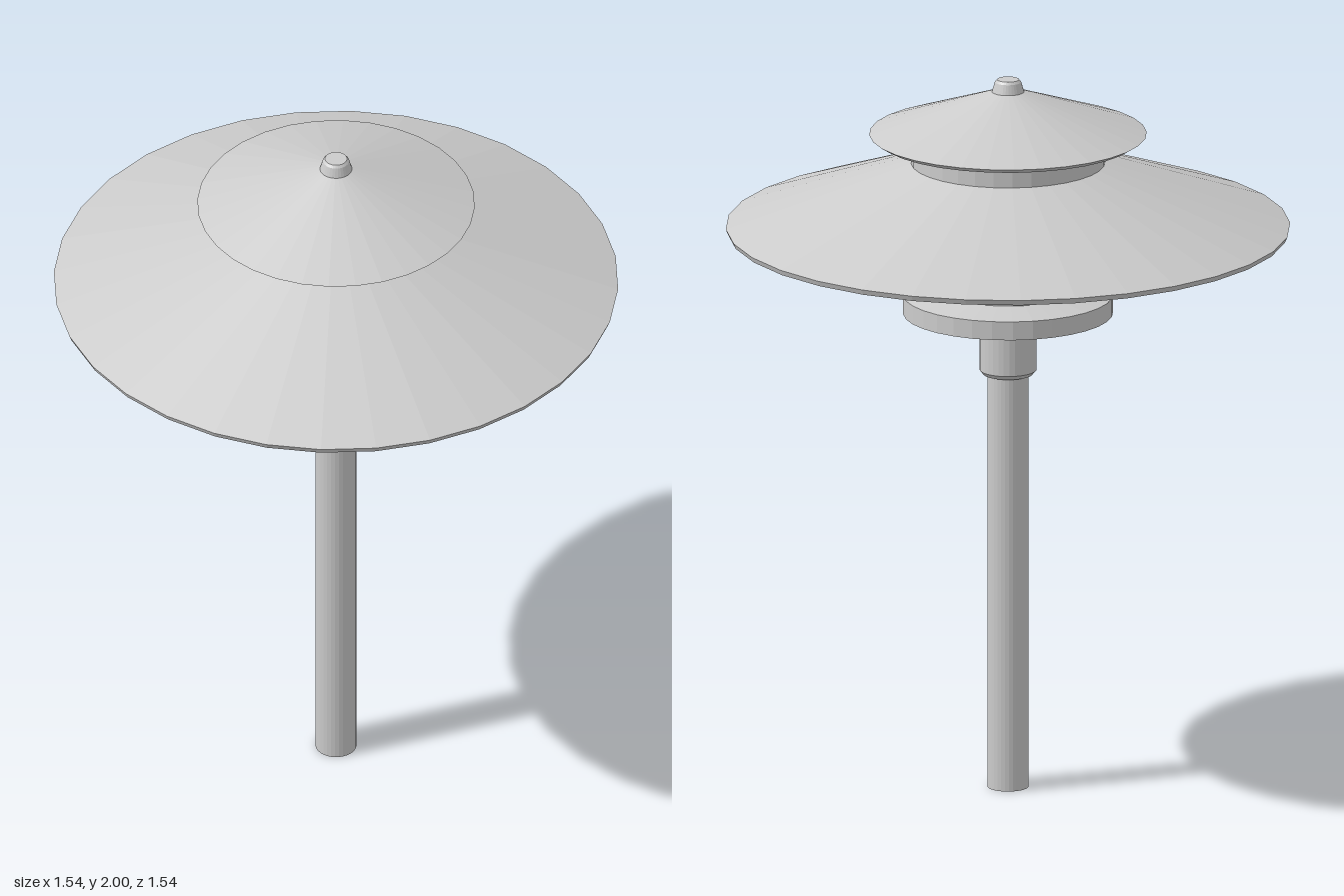
import * as THREE from 'three';

const SIDES = 32;

export function createModel() {
  const group = new THREE.Group();
  const material = new THREE.MeshStandardMaterial({ color: 0xcccccc, flatShading: true });

  // Turned part from [radius, height] pairs, listed bottom to top and closed on the axis
  function turned(name, profile) {
    const first = profile[0], last = profile[profile.length - 1];
    const points = [[0, first[1]], ...profile, [0, last[1]]].map(([r, y]) => new THREE.Vector2(r, y));
    const mesh = new THREE.Mesh(new THREE.LatheGeometry(points, SIDES), material);
    mesh.name = name;
    group.add(mesh);
  }

  // Post and the sleeve that holds the lamp head
  turned('post', [[0.056, 0], [0.056, 1.18]]);
  turned('sleeve', [[0.068, 1.168], [0.078, 1.18], [0.078, 1.34]]);

  // Stepped lamp base and neck
  turned('lampBase', [[0.287, 1.34], [0.287, 1.392], [0.19, 1.41], [0.19, 1.482]]);
  turned('neck', [[0.124, 1.48], [0.124, 1.575]]);

  // Wide lower shade with a thin rim
  turned('lowerShade', [[0.765, 1.57], [0.771, 1.585], [0.265, 1.765]]);

  // Drum between the shades
  turned('drum', [[0.265, 1.76], [0.265, 1.835]]);

  // Small upper shade with an undercut rim
  turned('upperShade', [[0.357, 1.833], [0.379, 1.847], [0.04, 1.967]]);

  // Finial
  turned('finial', [[0.045, 1.962], [0.036, 1.993], [0.03, 2]]);

  return group;
}
